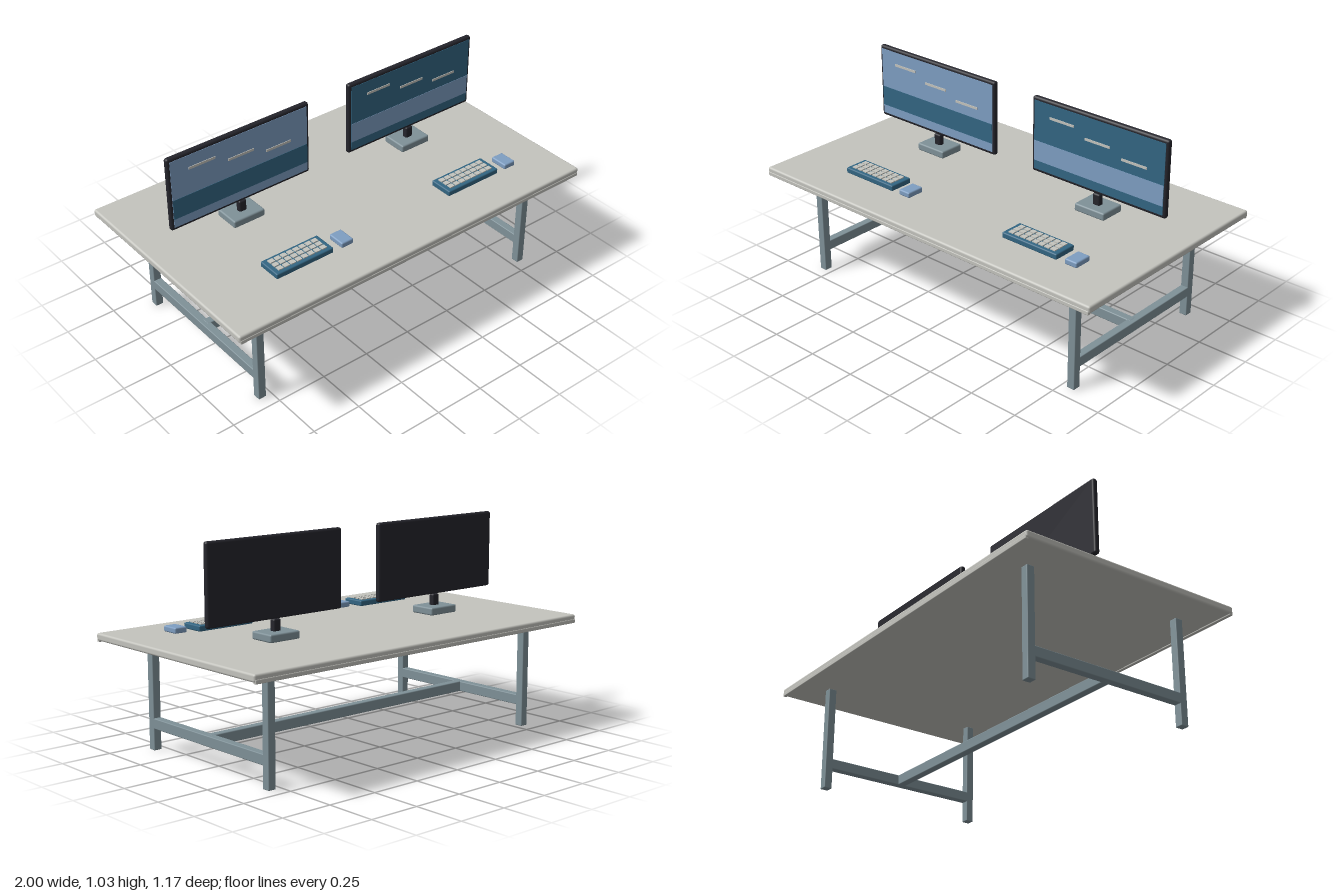
import * as THREE from 'three';
import { RoundedBoxGeometry } from 'three/addons/geometries/RoundedBoxGeometry.js';

const mat = (name, color) => new THREE.MeshStandardMaterial({ name, color });

export function createModel() {
  const model = new THREE.Group();
  model.name = 'doubleDesk';

  const stone = mat('pale grey', 0xc4c4be);
  const steel = mat('slate grey', 0x7f9198);
  const dark = mat('near black', 0x25252c);
  const light = mat('light blue', 0x7e9ec2);
  const teal = mat('deep teal', 0x336683);

  // Box from centre and size, with an optional edge radius
  const box = (parent, name, material, [x, y, z], [w, h, d], r = 0) => {
    const geo = r ? new RoundedBoxGeometry(w, h, d, 2, r) : new THREE.BoxGeometry(w, h, d);
    const mesh = new THREE.Mesh(geo, material);
    mesh.name = name;
    mesh.position.set(x, y, z);
    parent.add(mesh);
    return mesh;
  };

  // Table top with trim strips along the long edges
  box(model, 'tableTop', stone, [0, 0.54, 0], [2, 0.036, 1.162], 0.01);
  for (const s of [1, -1]) {
    box(model, 'edgeTrim', stone, [0, 0.526, s * 0.574], [1.99, 0.02, 0.018], 0.004);
  }

  // Frame: four legs, two side rails and one long stretcher
  for (const sx of [1, -1]) {
    for (const sz of [1, -1]) {
      box(model, 'leg', steel, [sx * 0.8, 0.264, sz * 0.42], [0.04, 0.52, 0.04], 0.004);
    }
    box(model, 'sideRail', steel, [sx * 0.8, 0.133, 0], [0.04, 0.05, 0.82], 0.004);
  }
  box(model, 'stretcher', steel, [0, 0.133, 0], [1.6, 0.052, 0.04], 0.005);

  // Monitor with a two-tone screen; band contrasts with the background
  const addMonitor = (parent, background, band) => {
    const g = new THREE.Group();
    g.name = 'monitor';
    g.position.z = -0.102;
    parent.add(g);
    box(g, 'standBase', steel, [0, 0.584, -0.003], [0.17, 0.038, 0.134], 0.008);
    box(g, 'standNeck', dark, [0, 0.625, 0], [0.04, 0.066, 0.03], 0.008);
    box(g, 'monitorCase', dark, [0, 0.846, 0], [0.766, 0.376, 0.028], 0.011);
    box(g, 'screen', background, [0, 0.846, 0.0135], [0.738, 0.344, 0.005]);
    box(g, 'screenBand', band, [0, 0.768, 0.015], [0.736, 0.1, 0.005]);
    [0.952, 0.91, 0.873].forEach((y, i) => {
      box(g, 'screenLine', stone, [(i - 1) * 0.206, y, 0.016], [0.14, 0.012, 0.006]);
    });
  };

  // Keyboard with a grid of keys, and a mouse beside it
  const addKeyboard = (parent) => {
    const g = new THREE.Group();
    g.name = 'keyboard';
    g.position.z = 0.317;
    parent.add(g);
    box(g, 'keyboardBody', teal, [0, 0.578, 0], [0.312, 0.028, 0.122], 0.006);
    for (let row = 0; row < 3; row++) {
      for (let col = 0; col < 8; col++) {
        box(g, 'key', stone, [(col - 3.5) * 0.034, 0.593, (row - 1) * 0.031],
          [0.027, 0.008, 0.024]);
      }
    }
    box(parent, 'mouse', light, [0.235, 0.578, 0.333], [0.066, 0.028, 0.092], 0.007);
  };

  // Two workstations side by side
  [[-0.5, light, teal], [0.5, teal, light]].forEach(([x, background, band]) => {
    const station = new THREE.Group();
    station.name = 'workstation';
    station.position.x = x;
    model.add(station);
    addMonitor(station, background, band);
    addKeyboard(station);
  });

  return model;
}
